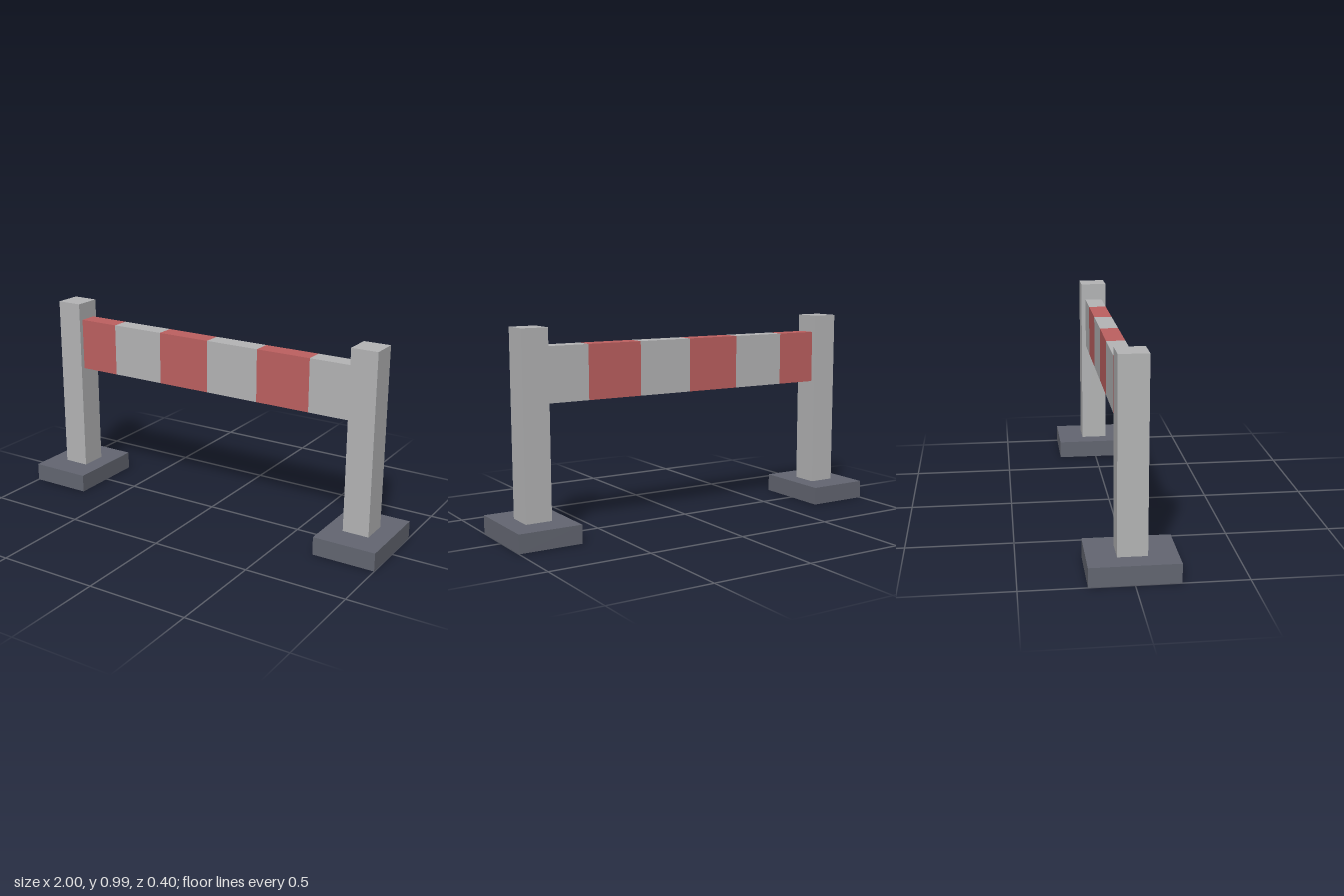
import * as THREE from 'three';

const material = (name, color) => {
  const m = new THREE.MeshStandardMaterial({ color });
  m.name = name;
  return m;
};

export function createModel() {
  const group = new THREE.Group();
  group.name = 'barrier';
  const grey = material('light grey', 0xb4b5b6);
  const red = material('faded red', 0xbd6060);
  const dark = material('dark slate', 0x636671);

  // Box placed by its centre in x and its underside in y
  const box = (name, mat, w, h, d, x, bottom) => {
    const mesh = new THREE.Mesh(new THREE.BoxGeometry(w, h, d), mat);
    mesh.name = name;
    mesh.position.set(x, bottom + h / 2, 0);
    group.add(mesh);
  };

  // Feet and posts, mirrored
  for (const [side, s] of [['left', 1], ['right', -1]]) {
    box(side + 'Foot', dark, 0.314, 0.09, 0.404, s * 0.843, 0);
    box(side + 'Post', grey, 0.132, 0.895, 0.135, s * 0.84, 0.09);
  }

  // Striped board, its ends set into the posts
  const stripe = 0.28;
  for (let i = 0; i < 6; i++) {
    const isRed = i % 2 === 0;
    box(isRed ? 'redStripe' : 'greyStripe', isRed ? red : grey,
      stripe, 0.263, 0.09, (i - 2.5) * stripe, 0.635);
  }
  return group;
}
